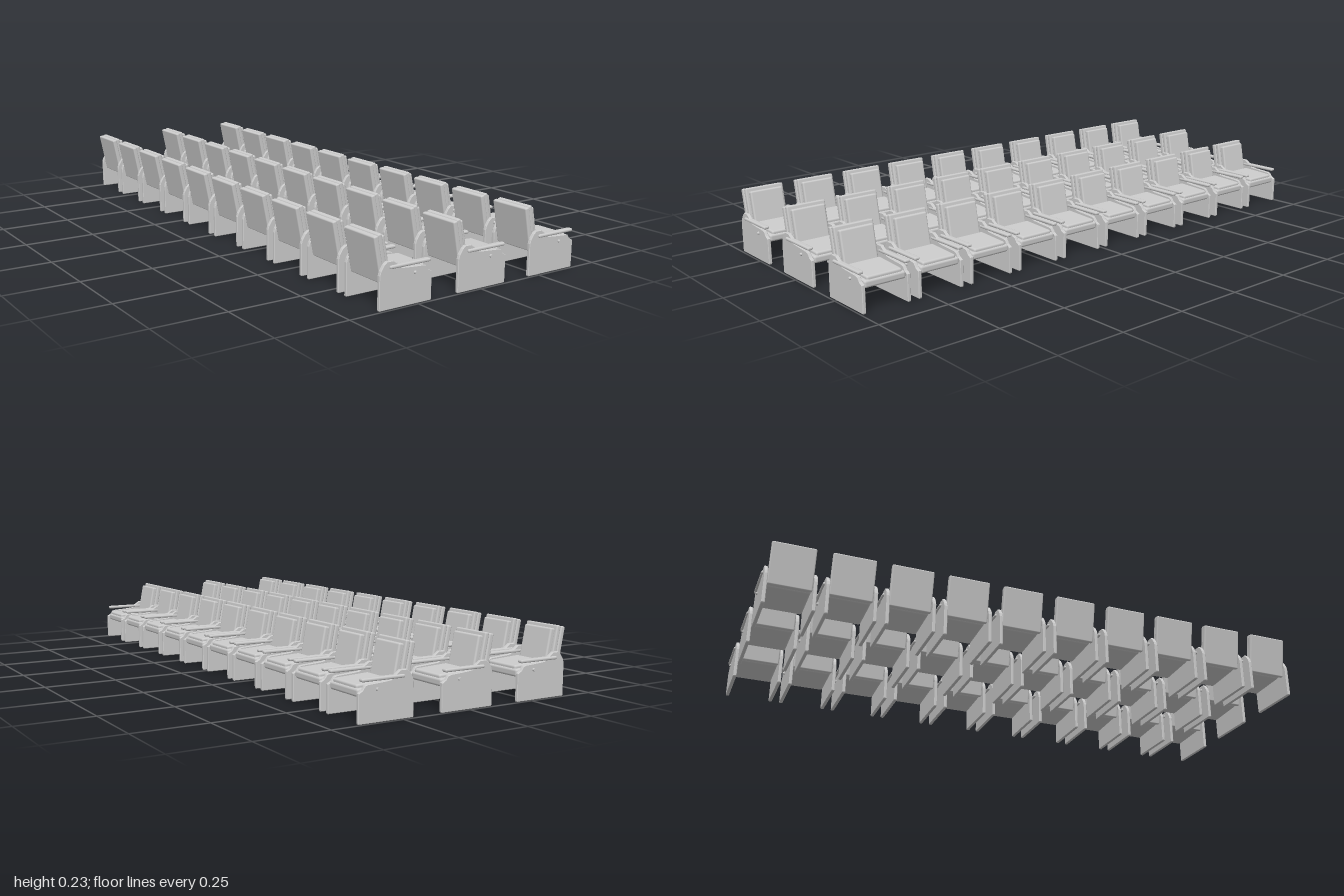
import * as THREE from 'three';
import { RoundedBoxGeometry } from 'three/addons/geometries/RoundedBoxGeometry.js';

const COLUMNS = 3, ROWS = 10, COLUMN_PITCH = 0.3, ROW_PITCH = 0.2017;
const LEAN = 0.193; // backward tilt of the backrest

// Side panel outline, in the x-y plane
function panelGeometry() {
  const outline = [
    [-0.089, 0], [0.103, 0], [0.105, 0.004], [0.105, 0.091], [0.091, 0.099], [0.082, 0.112],
    [0.072, 0.115], [0.012, 0.119], [-0.008, 0.121], [-0.022, 0.133], [-0.042, 0.147],
    [-0.065, 0.147], [-0.076, 0.138], [-0.087, 0.121], [-0.091, 0.108], [-0.091, 0.003],
  ];
  const shape = new THREE.Shape(outline.map(([x, y]) => new THREE.Vector2(x, y)));
  const geometry = new THREE.ExtrudeGeometry(shape, {
    depth: 0.008, bevelEnabled: true, bevelThickness: 0.002, bevelSize: 0.002,
    bevelOffset: -0.002, bevelSegments: 1,
  });
  return geometry.translate(0, 0, -0.004);
}

export function createModel() {
  const grey = new THREE.MeshStandardMaterial({ color: 0xcccccc });
  grey.name = 'light grey';

  const slab = (w, h, d, r) => new RoundedBoxGeometry(w, h, d, 2, r);
  const geo = {
    panel: panelGeometry(),
    armrest: slab(0.152, 0.011, 0.02, 0.005),
    bolt: new THREE.CylinderGeometry(0.0045, 0.0055, 0.007, 12).rotateX(Math.PI / 2),
    backShell: slab(0.017, 0.148, 0.148, 0.005),
    backFrame: slab(0.016, 0.146, 0.142, 0.005),
    backCushion: slab(0.02, 0.122, 0.122, 0.006),
    seatBase: slab(0.15, 0.026, 0.148, 0.008),
    seatCushion: slab(0.126, 0.02, 0.126, 0.007),
  };

  function add(parent, name, x, y, z = 0, tilt = 0) {
    const mesh = new THREE.Mesh(geo[name], grey);
    mesh.name = name;
    mesh.position.set(x, y, z);
    mesh.rotation.z = tilt;
    parent.add(mesh);
    return mesh;
  }

  function buildSeat() {
    const seat = new THREE.Group();

    // Seat, sloping gently down towards its front edge
    add(seat, 'seatBase', 0.025, 0.093, 0, -0.05);
    add(seat, 'seatCushion', 0.033, 0.106, 0, -0.05);

    // Leaning backrest in three layers
    const back = new THREE.Group();
    back.name = 'backrest';
    back.position.set(-0.0745, 0.153, 0);
    back.rotation.z = LEAN;
    add(back, 'backShell', -0.0075, 0);
    add(back, 'backFrame', 0.008, 0.002);
    add(back, 'backCushion', 0.022, 0.002);
    seat.add(back);

    // Side panels with armrest and bolt, mirrored
    for (const side of [-1, 1]) {
      add(seat, 'panel', 0, 0, side * 0.0805);
      add(seat, 'armrest', 0.02, 0.1285, side * 0.0825);
      const bolt = add(seat, 'bolt', 0.04, 0.098, side * 0.089);
      if (side < 0) bolt.rotation.y = Math.PI;
    }
    return seat;
  }

  // Grid of seats, all facing +x
  const model = new THREE.Group();
  model.name = 'seatingBlock';
  for (let c = 0; c < COLUMNS; c++) {
    for (let r = 0; r < ROWS; r++) {
      const seat = buildSeat();
      seat.name = `seat column ${c + 1} row ${r + 1}`;
      seat.position.set((c - (COLUMNS - 1) / 2) * COLUMN_PITCH, 0, (r - (ROWS - 1) / 2) * ROW_PITCH);
      model.add(seat);
    }
  }
  return model;
}
